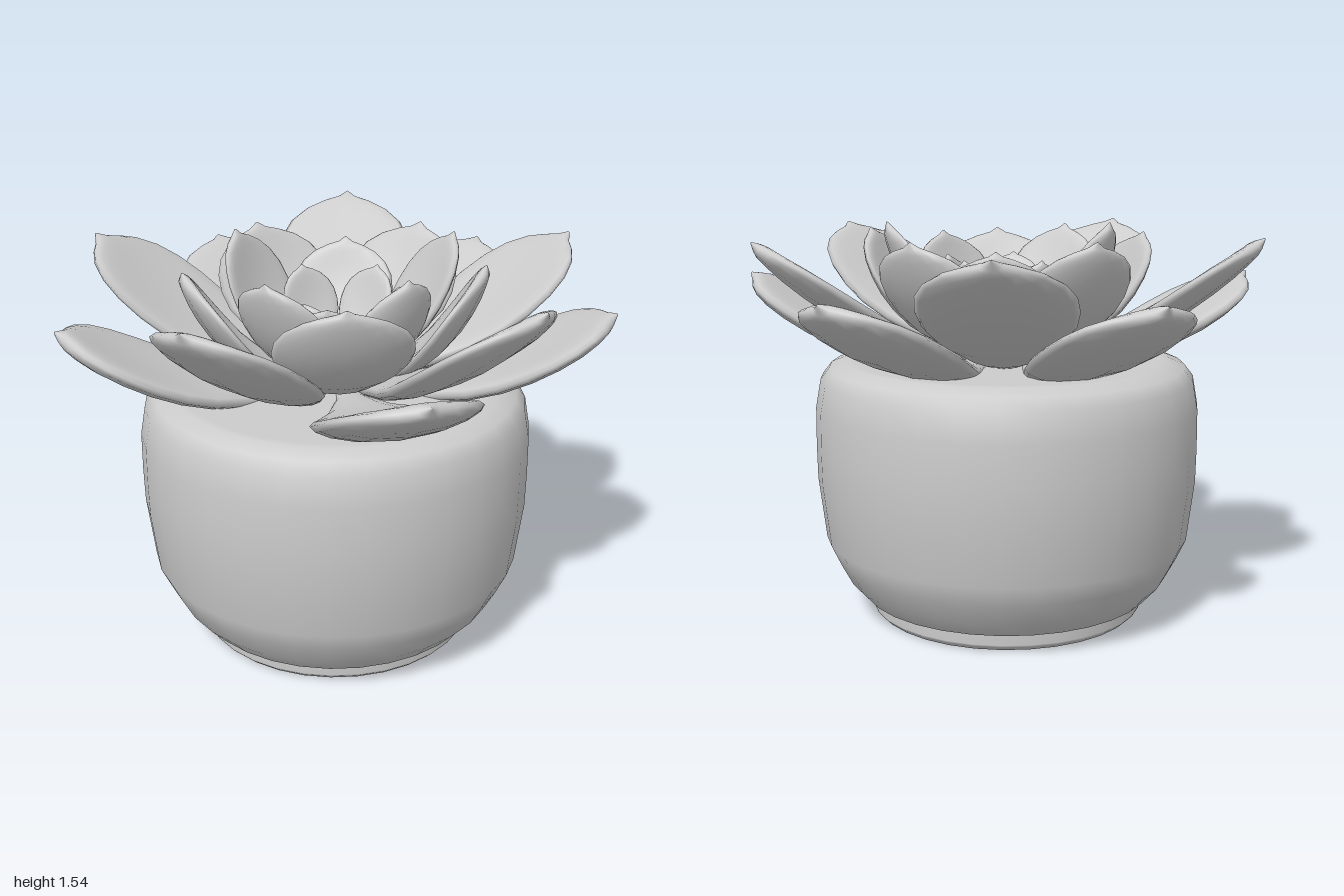
import * as THREE from 'three';

const CENTRE_Z = 0.045;

// Petal outline: [position along length, half width fraction, thickness fraction]
const OUTLINE = [
  [0, 0.1, 0.5], [0.15, 0.24, 0.9], [0.3, 0.5, 1], [0.45, 0.8, 1], [0.57, 0.96, 1],
  [0.68, 1, 1], [0.78, 0.96, 0.95], [0.86, 0.83, 0.9], [0.92, 0.61, 0.8],
  [0.955, 0.36, 0.7], [0.975, 0.14, 0.5], [1, 0.01, 0.08],
];
const SIDES = 16;

// Cupped petal swept along a curve in the radial plane (z outward, y up)
function petalGeometry({ base, control, tip, width, thick, cup }) {
  const curve = new THREE.QuadraticBezierCurve(
    new THREE.Vector2(...base), new THREE.Vector2(...control), new THREE.Vector2(...tip));
  const pos = [], index = [];
  for (const [t, w, h] of OUTLINE) {
    const p = curve.getPoint(t), d = curve.getTangent(t);
    for (let j = 0; j < SIDES; j++) {
      const a = (j / SIDES) * Math.PI * 2;
      const c = Math.sign(Math.cos(a)) * Math.pow(Math.abs(Math.cos(a)), 0.85);
      const x = w * width / 2 * c;
      const n = thick / 2 * h * Math.sin(a) + cup * width / 2 * w * w * c * c;
      pos.push(x, p.y + n * d.x, p.x - n * d.y);
    }
  }
  const rows = OUTLINE.length;
  for (let i = 0; i < rows - 1; i++) {
    for (let j = 0; j < SIDES; j++) {
      const a = i * SIDES + j, b = i * SIDES + (j + 1) % SIDES;
      index.push(a, b, b + SIDES, a, b + SIDES, a + SIDES);
    }
  }
  // end caps
  const last = (rows - 1) * SIDES;
  for (let j = 1; j < SIDES - 1; j++) {
    index.push(0, j + 1, j, last, last + j, last + j + 1);
  }
  const g = new THREE.BufferGeometry();
  g.setAttribute('position', new THREE.Float32BufferAttribute(pos, 3));
  g.setIndex(index);
  g.computeVertexNormals();
  return g;
}

// Rings from outside in; petals are [angle from the front, tip radius, tip height]
const RINGS = [
  { name: 'lowerOuterPetal', base: [0.06, 0.99], control: [0.58, 0.95], width: 0.56, thick: 0.09, cup: 0.13,
    petals: [[180, 1.045, 1.32], [117, 1.03, 1.32], [52, 1.05, 1.32], [-36, 1.03, 1.31], [-114, 1.02, 1.32]] },
  { name: 'upperOuterPetal', base: [0.06, 1.01], control: [0.52, 1.04], width: 0.56, thick: 0.08, cup: 0.15,
    petals: [[6, 0.955, 1.49], [83, 0.935, 1.49], [147, 0.98, 1.48], [-147, 1.01, 1.48], [-72, 0.975, 1.49]] },
  { name: 'lowerMiddlePetal', base: [0.05, 1.03], control: [0.43, 1.06], width: 0.5, thick: 0.065, cup: 0.18,
    petals: [[180, 0.58, 1.49], [110, 0.56, 1.5], [40, 0.56, 1.47], [-36, 0.57, 1.48], [-110, 0.56, 1.49]] },
  { name: 'upperMiddlePetal', base: [0.04, 1.06], control: [0.33, 1.09], width: 0.39, thick: 0.06, cup: 0.22,
    petals: [[3, 0.44, 1.5], [80, 0.37, 1.48], [144, 0.47, 1.54], [-150, 0.4, 1.45], [-80, 0.42, 1.54]] },
  { name: 'innerPetal', base: [0.03, 1.09], control: [0.19, 1.13], width: 0.24, thick: 0.05, cup: 0.25,
    petals: [[175, 0.245, 1.4], [105, 0.25, 1.4], [31, 0.32, 1.39], [-31, 0.32, 1.39], [-110, 0.23, 1.4]] },
  { name: 'centrePetal', base: [0.0, 1.1], control: [0.1, 1.2], width: 0.19, thick: 0.05, cup: 0.2,
    petals: [[-2, 0.19, 1.35]] },
];

export function createModel() {
  const group = new THREE.Group();
  const material = new THREE.MeshStandardMaterial({ color: 0xcccccc });
  const add = (geometry, name, parent = group) => {
    const mesh = new THREE.Mesh(geometry, material);
    mesh.name = name;
    parent.add(mesh);
    return mesh;
  };
  const lathe = (points) =>
    new THREE.LatheGeometry(points.map(([x, y]) => new THREE.Vector2(x, y)), 32);

  // Pot: rounded bowl with a closed top
  add(lathe([[0, 0.065], [0.54, 0.065], [0.575, 0.078], [0.635, 0.145], [0.68, 0.23], [0.717, 0.31],
    [0.745, 0.55], [0.747, 0.68], [0.745, 0.83], [0.725, 0.94], [0.69, 0.985], [0.63, 1.008],
    [0.6, 1.01], [0, 1.01]]), 'pot').position.z = CENTRE_Z;

  // Foot: low disc under the pot
  add(lathe([[0, 0], [0.515, 0], [0.52, 0.001], [0.537, 0.018], [0.539, 0.025], [0.539, 0.08]]), 'foot')
    .position.z = CENTRE_Z;

  // Rosette of petals around a short stem
  const rosette = new THREE.Group();
  rosette.name = 'rosette';
  rosette.position.z = CENTRE_Z;
  group.add(rosette);
  add(new THREE.CylinderGeometry(0.04, 0.08, 0.12, 16), 'stem', rosette).position.y = 1.05;
  for (const { name, petals, ...shape } of RINGS) {
    for (const [angle, radius, height] of petals) {
      const petal = add(petalGeometry({ ...shape, tip: [radius, height] }), name, rosette);
      petal.rotation.y = THREE.MathUtils.degToRad(angle);
    }
  }
  return group;
}
